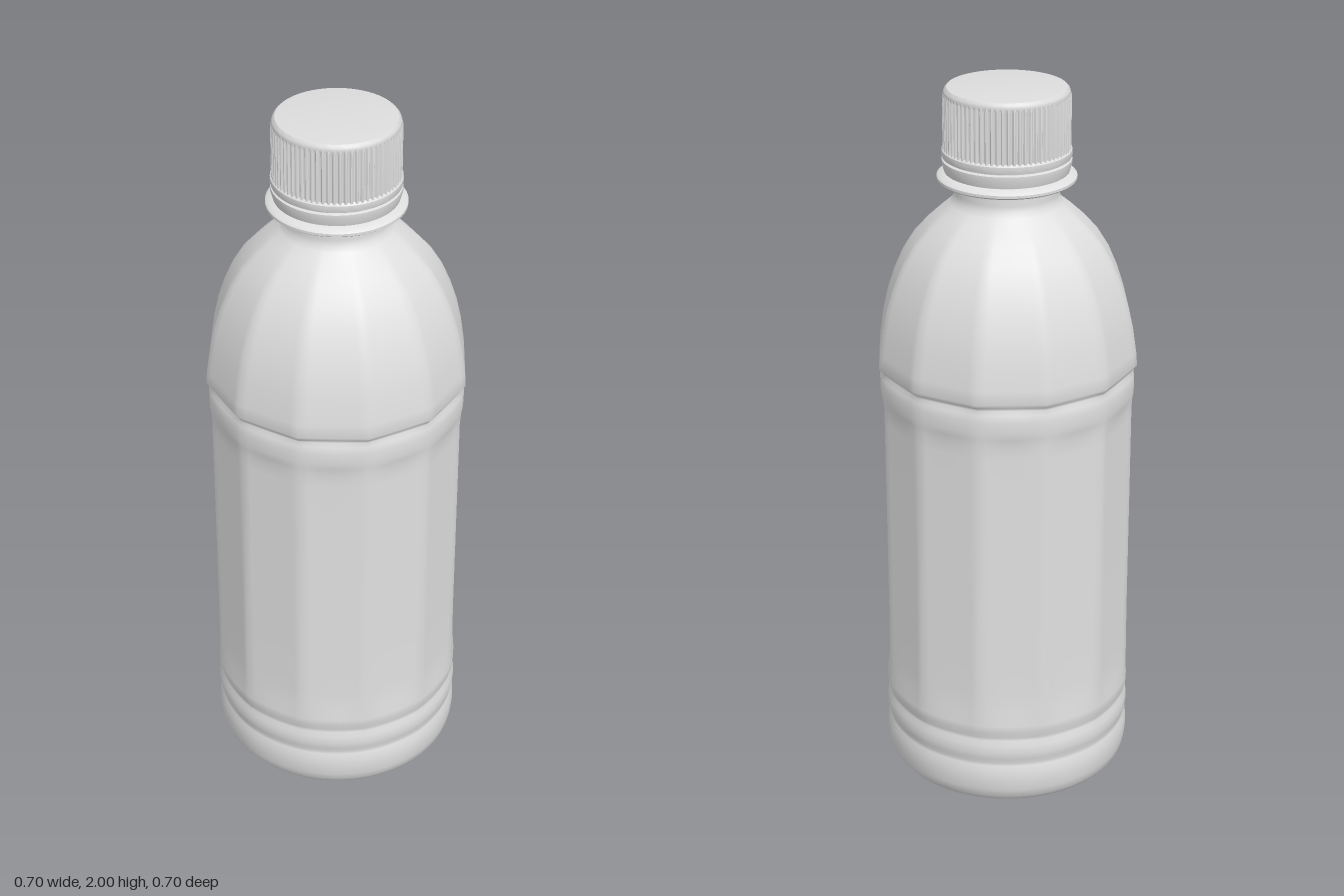
import * as THREE from 'three';
import { toCreasedNormals } from 'three/addons/utils/BufferGeometryUtils.js';

const STEP = Math.PI / 6; // angle of one of the twelve facets

// Skin closed rings into a smooth surface; point(ring, angle) returns [radius, y]
function loft(rings, segs, point) {
  const pos = [], idx = [];
  rings.forEach((ring, i) => {
    for (let j = 0; j < segs; j++) {
      const a = (j / segs) * Math.PI * 2;
      const [r, y] = point(ring, a, j);
      pos.push(r * Math.cos(a), y, r * Math.sin(a));
      if (i === rings.length - 1) continue;
      const p = i * segs + j, q = i * segs + (j + 1) % segs;
      idx.push(p, p + segs, q, q, p + segs, q + segs);
    }
  });
  const g = new THREE.BufferGeometry();
  g.setAttribute('position', new THREE.Float32BufferAttribute(pos, 3));
  g.setIndex(idx);
  g.computeVertexNormals();
  return g;
}

// Radius factor of a twelve-sided outline with flats on the axes
function facet(a) {
  const d = a - Math.round(a / STEP) * STEP;
  return 1 / Math.cos(d);
}

const BASE_R = 0.255;
const domeY = (t) => 0.012 + 0.12 * (1 - t * t);

// Underside: six ribs radiating from a raised centre
function baseY(t, a) {
  const valley = 0.5 - 0.5 * Math.cos(6 * (a - Math.PI / 4));
  return domeY(t) + 0.06 * Math.sin(Math.PI * t) * (valley - 0.35 - 3 * Math.max(0, 0.6 - t));
}

export function createModel() {
  const group = new THREE.Group();
  const plastic = new THREE.MeshStandardMaterial({ color: 0xe0e0e0 });
  const capPlastic = new THREE.MeshStandardMaterial({ color: 0xdcdcdc });
  const amber = new THREE.MeshStandardMaterial({ color: 0xdda43c });
  plastic.name = 'clearPlastic';
  capPlastic.name = 'capPlastic';
  amber.name = 'amberLiquid';

  const add = (name, geometry, material) => {
    const m = new THREE.Mesh(geometry, material);
    m.name = name;
    group.add(m);
  };
  const lathe = (pts) => toCreasedNormals(
    new THREE.LatheGeometry(pts.map(([r, y]) => new THREE.Vector2(r, y)), 64), 0.6);

  // Bottle wall: radius, height, how faceted the outline is
  const wall = [
    [0.275, 0.001, 0], [0.3, 0, 0], [0.325, 0.008, 0], [0.34, 0.027, 0], [0.346, 0.05, 0],
    [0.349, 0.08, 0.1], [0.348, 0.11, 0.1], [0.342, 0.127, 0.1], [0.341, 0.137, 0.1], [0.346, 0.152, 0.1],
    [0.349, 0.172, 0.1], [0.347, 0.195, 0.1], [0.341, 0.21, 0.2], [0.341, 0.22, 0.2],
    [0.347, 0.24, 0.3], [0.347, 0.26, 0.4], [0.342, 0.3, 0.7], [0.339, 0.36, 1], [0.338, 0.5, 1],
    [0.338, 0.95, 1], [0.338, 1.08, 1], [0.339, 1.115, 0.9], [0.345, 1.14, 0.5], [0.349, 1.16, 0.4],
    [0.349, 1.19, 0.4], [0.346, 1.21, 0.5], [0.339, 1.222, 0.7], [0.341, 1.23, 0.9],
    [0.35, 1.243, 1], [0.347, 1.28, 1], [0.337, 1.35, 1], [0.324, 1.41, 1], [0.305, 1.47, 1],
    [0.28, 1.53, 1], [0.248, 1.585, 0.9], [0.21, 1.63, 0.7], [0.175, 1.665, 0.4], [0.152, 1.685, 0.1],
    [0.142, 1.7, 0], [0.14, 1.715, 0], [0.14, 1.78, 0],
  ].map(([r, y, f]) => ({ r, y, f }));
  const underside = [];
  for (let i = 0; i <= 16; i++) underside.push({ t: Math.max(0.005, i / 16) });
  add('bottleBody', loft([...underside, ...wall], 96, (k, a) => k.t !== undefined
    ? [BASE_R * k.t, baseY(k.t, a)]
    : [k.r * (1 + k.f * (facet(a) - 1)), k.y]), plastic);

  // Liquid showing between the ribs underneath
  const liquid = underside.filter((k) => k.t < 0.99);
  liquid.push({ t: 0.985 });
  add('liquidBase', loft(liquid, 96, (k) => [BASE_R * k.t, domeY(k.t)]), amber);

  // Neck support ring
  add('neckRing', lathe([
    [0.138, 1.743], [0.18, 1.748], [0.187, 1.753], [0.187, 1.76], [0.18, 1.766], [0.16, 1.77], [0.16, 1.79],
  ]), plastic);

  // Tamper band below the cap
  add('tamperBand', lathe([
    [0.15, 1.773], [0.167, 1.773], [0.173, 1.795], [0.173, 1.806], [0.165, 1.809], [0.165, 1.82],
  ]), capPlastic);

  // Cap skirt, then knurled side, then rounded lid
  add('capSkirt', lathe([
    [0.155, 1.813], [0.172, 1.813], [0.174, 1.819], [0.173, 1.832], [0.166, 1.838],
  ]), capPlastic);
  const knurl = [[0.168, 1.832, 1], [0.168, 1.975, 1], [0.167, 1.985, 0.3]];
  add('capKnurling', toCreasedNormals(loft(knurl, 288, ([r, y, f], a, j) =>
    [r + f * (j % 4 < 2 ? 0.002 : -0.003), y]), 0.5), capPlastic);
  add('capLid', lathe([
    [0.166, 1.978], [0.1675, 1.985], [0.165, 1.993], [0.159, 1.999], [0.152, 2], [0, 2],
  ]), capPlastic);

  return group;
}
